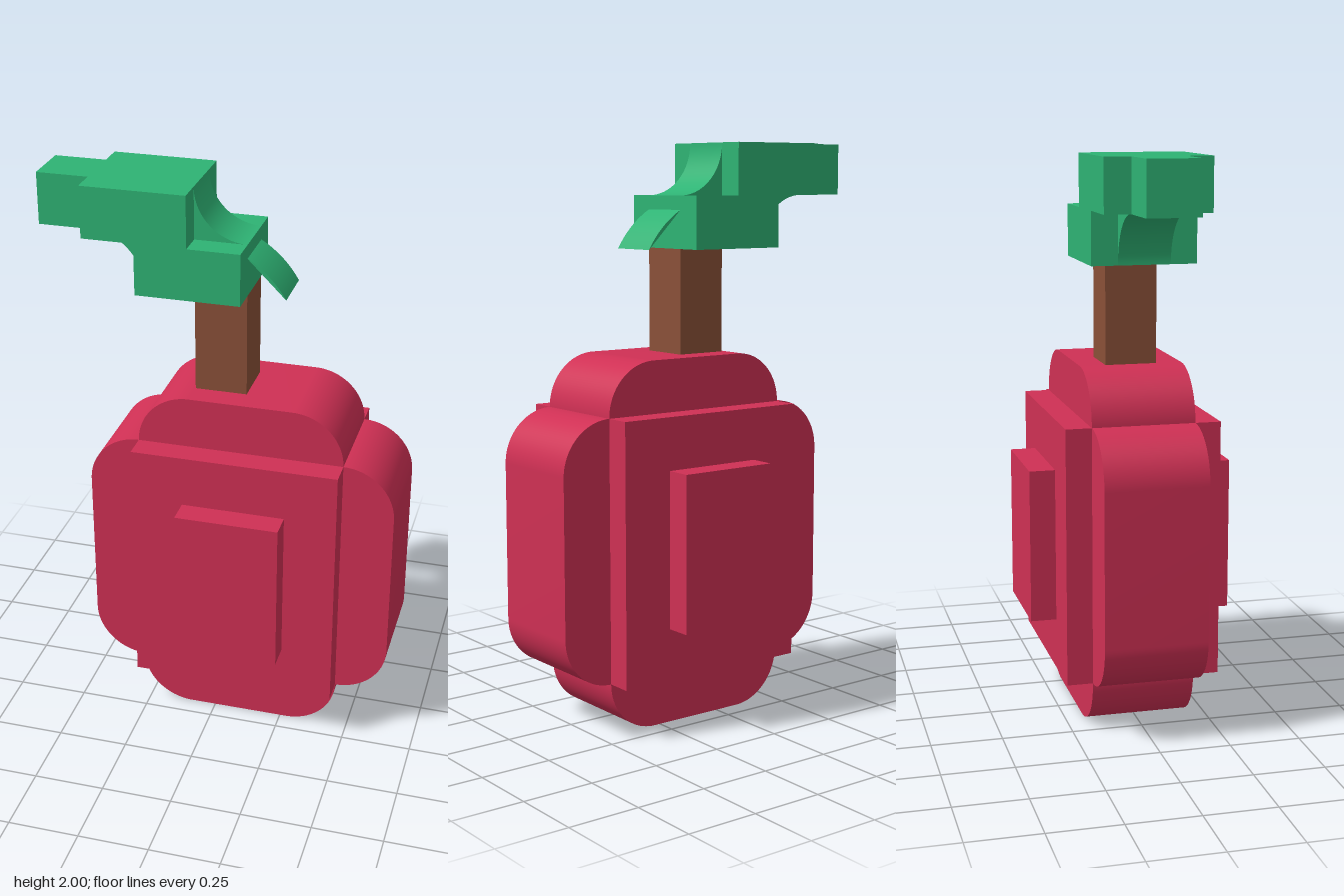
import * as THREE from 'three';
import { toCreasedNormals } from 'three/addons/utils/BufferGeometryUtils.js';

const U = 1 / 11; // one block unit

const red = new THREE.MeshStandardMaterial({ color: 0xcf3054 });
const brown = new THREE.MeshStandardMaterial({ color: 0x8a5038 });
const green = new THREE.MeshStandardMaterial({ color: 0x2eb374 });

export function createModel() {
  const model = new THREE.Group();

  function add(parent, name, geometry, material) {
    geometry.scale(U, U, U);
    const mesh = new THREE.Mesh(geometry, material);
    mesh.name = name;
    parent.add(mesh);
  }

  // Box from x and y ranges, centred on z
  function block(parent, name, x0, x1, y0, y1, halfDepth, material) {
    const g = new THREE.BoxGeometry(x1 - x0, y1 - y0, halfDepth * 2);
    g.translate((x0 + x1) / 2, (y0 + y1) / 2, 0);
    add(parent, name, g, material);
  }

  // Profile in x and y, extruded evenly to both sides of z = 0
  function slab(parent, name, shape, halfDepth, material) {
    const g = new THREE.ExtrudeGeometry(shape, { depth: halfDepth * 2, bevelEnabled: false, curveSegments: 16 });
    g.translate(0, 0, -halfDepth);
    add(parent, name, toCreasedNormals(g, 0.5), material);
  }

  function roundedRect(x0, x1, y0, y1, r) {
    const s = new THREE.Shape();
    s.absarc(x1 - r, y0 + r, r, -Math.PI / 2, 0);
    s.absarc(x1 - r, y1 - r, r, 0, Math.PI / 2);
    s.absarc(x0 + r, y1 - r, r, Math.PI / 2, Math.PI);
    s.absarc(x0 + r, y0 + r, r, Math.PI, Math.PI * 1.5);
    s.closePath();
    return s;
  }

  // Fruit: two crossing rounded slabs with stepped panels front and back
  const fruit = new THREE.Group();
  fruit.name = 'fruit';
  slab(fruit, 'wideSlab', roundedRect(-5, 7, 2, 12, 2), 2, red);
  slab(fruit, 'tallSlab', roundedRect(-3, 5, 0, 14, 2), 2, red);
  block(fruit, 'largePanel', -3, 5, 2, 12, 3, red);
  block(fruit, 'smallPanel', -1, 3, 4, 10, 4, red);

  block(model, 'stem', -1, 1, 14, 18, 1, brown);

  // Leaf: stepped blocks joined by curved pieces
  const leaf = new THREE.Group();
  leaf.name = 'leaf';
  block(leaf, 'leafTip', -7, -5, 20, 22, 1, green);
  block(leaf, 'leafUpper', -5, -1, 20, 22, 2, green);
  block(leaf, 'leafLower', -3, 1, 18, 20, 2, green);

  // Hollow curve in the step above
  const upper = new THREE.Shape();
  upper.moveTo(-1, 20);
  upper.lineTo(1, 20);
  upper.absarc(1, 22, 2, Math.PI * 1.5, Math.PI, true);
  upper.closePath();
  slab(leaf, 'upperFillet', upper, 1, green);

  // Hollow curve in the step below
  const lower = new THREE.Shape();
  lower.moveTo(-3, 20);
  lower.lineTo(-5, 20);
  lower.absarc(-5, 18, 2, Math.PI / 2, 0, true);
  lower.closePath();
  slab(leaf, 'lowerFillet', lower, 1, green);

  // Drooping rounded end
  const droop = new THREE.Shape();
  droop.moveTo(1, 18);
  droop.absarc(-1, 16, 4, Math.PI / 6, Math.PI / 3);
  droop.closePath();
  slab(leaf, 'leafBase', droop, 1, green);

  model.add(fruit, leaf);
  return model;
}
